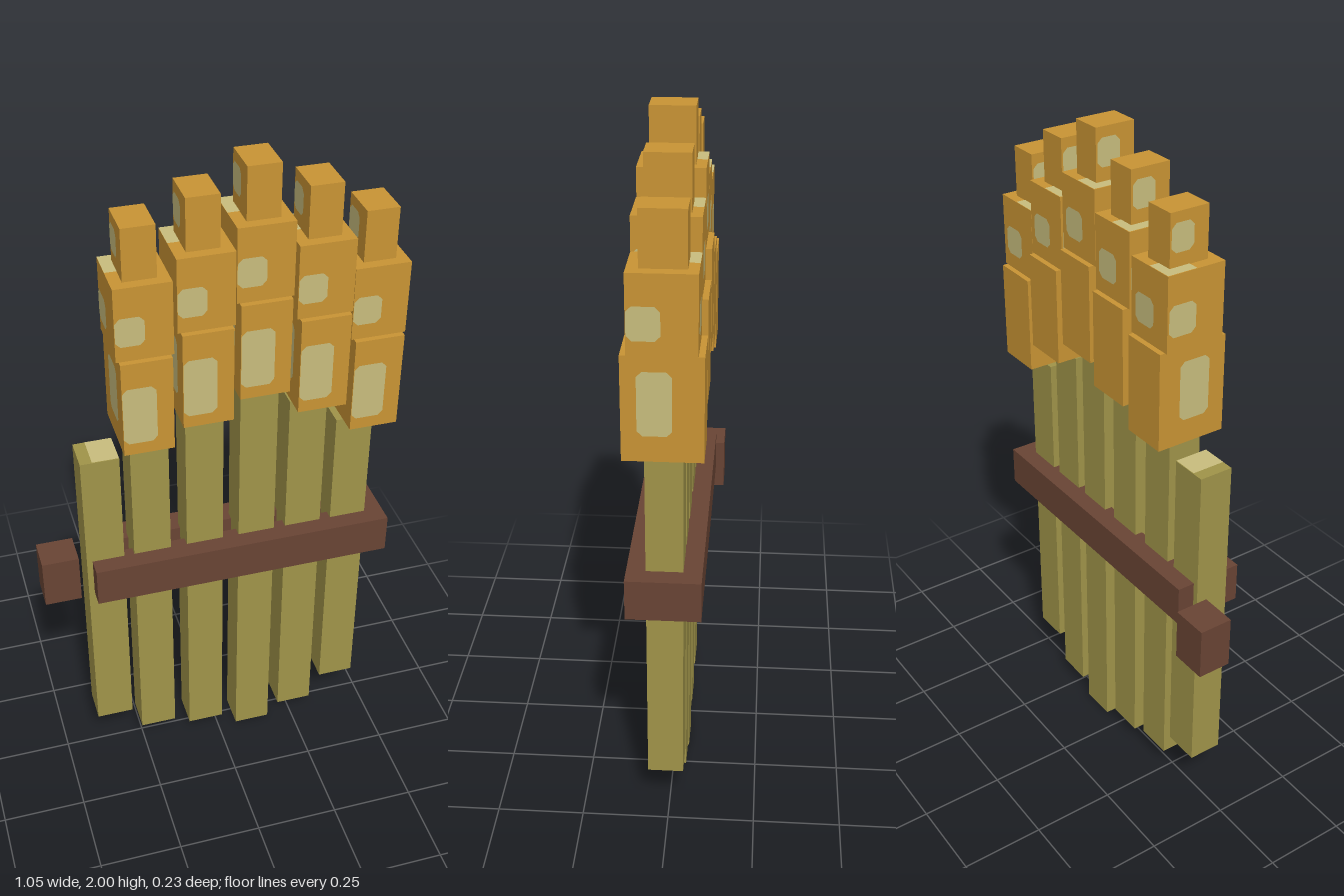
import * as THREE from 'three';

const mat = (name, color) => {
  const m = new THREE.MeshStandardMaterial({ color });
  m.name = name;
  return m;
};

export function createModel() {
  const model = new THREE.Group();
  model.name = 'cattailBundle';
  const olive = mat('stalkOlive', 0xa09449);
  const amber = mat('headAmber', 0xc99434);
  const straw = mat('paleStraw', 0xc8bd7d);
  const brown = mat('strapBrown', 0x694434);

  // Box given by its lower and upper corners
  function box(parent, name, material, [x0, y0, z0], [x1, y1, z1]) {
    const mesh = new THREE.Mesh(new THREE.BoxGeometry(x1 - x0, y1 - y0, z1 - z0), material);
    mesh.position.set((x0 + x1) / 2, (y0 + y1) / 2, (z0 + z1) / 2);
    mesh.name = name;
    parent.add(mesh);
  }

  // Thin pale patch with clipped corners, turned to lie on one face of a box
  const turns = {
    front: [0, 0, 0], back: [0, Math.PI, 0], left: [0, Math.PI / 2, 0],
    right: [0, -Math.PI / 2, 0], top: [-Math.PI / 2, 0, 0],
  };
  function patch(parent, face, w, h, x, y, z, cut = 0.014) {
    const a = w / 2, b = h / 2;
    const points = [[-a + cut, -b], [a - cut, -b], [a, -b + cut], [a, b - cut],
      [a - cut, b], [-a + cut, b], [-a, b - cut], [-a, -b + cut]];
    const shape = new THREE.Shape(points.map(([u, v]) => new THREE.Vector2(u, v)));
    const mesh = new THREE.Mesh(new THREE.ShapeGeometry(shape), straw);
    mesh.rotation.set(...turns[face]);
    mesh.position.set(x, y, z).addScaledVector(
      new THREE.Vector3(0, 0, 1).applyEuler(mesh.rotation), 0.0015);
    mesh.name = face + 'Patch';
    parent.add(mesh);
  }

  // Bare stalk without a head
  box(model, 'bareStalk', olive, [-0.402, 0.165, -0.042], [-0.29, 1.175, 0.06]);
  patch(model, 'top', 0.077, 0.1, -0.329, 1.175, 0.009, 0.001);

  // Stalk left edge, stalk bottom, head centre, head bottom
  const stalks = [
    [-0.26, 0.08, -0.215, 1.222],
    [-0.1, 0.05, -0.047, 1.282],
    [0.06, 0, 0.113, 1.345],
    [0.206, 0.05, 0.282, 1.27],
    [0.35, 0.14, 0.441, 1.179],
  ];
  for (const [sx, sy, cx, hy] of stalks) {
    const reed = new THREE.Group();
    reed.name = 'reed';
    model.add(reed);
    const my = hy + 0.29, ty = hy + 0.506, top = hy + 0.655;
    const tx = cx; // tip is centred on the head
    box(reed, 'stalk', olive, [sx, sy, -0.042], [sx + 0.111, hy, 0.06]);
    box(reed, 'lowerHead', amber, [cx - 0.071, hy, -0.098], [cx + 0.071, my, 0.114]);
    box(reed, 'upperHead', amber, [cx - 0.079, my, -0.082], [cx + 0.079, ty, 0.097]);
    box(reed, 'tip', amber, [tx - 0.046, ty, -0.054], [tx + 0.046, top, 0.066]);

    // Pale patches on the lower head
    patch(reed, 'front', 0.094, 0.176, cx - 0.023, hy + 0.125, 0.114);
    patch(reed, 'left', 0.09, 0.176, cx + 0.071, hy + 0.16, 0.028);
    patch(reed, 'right', 0.095, 0.176, cx - 0.071, hy + 0.16, 0.015);
    // Pale patches on the upper head
    patch(reed, 'front', 0.08, 0.085, cx - 0.038, my + 0.087, 0.097);
    patch(reed, 'back', 0.08, 0.085, cx + 0.02, my + 0.087, -0.082);
    patch(reed, 'left', 0.085, 0.09, cx + 0.079, my + 0.087, 0.053);
    patch(reed, 'right', 0.085, 0.09, cx - 0.079, my + 0.087, -0.035);
    patch(reed, 'top', 0.079, 0.09, cx - 0.0395, ty, -0.037, 0.001);
    // Pale patch on the tip
    patch(reed, 'right', 0.07, 0.08, tx - 0.046, ty + 0.08, -0.015);
  }

  // Strap around the stalks, open on one end, with a loose knot
  const strap = new THREE.Group();
  strap.name = 'strap';
  model.add(strap);
  box(strap, 'frontStrap', brown, [-0.385, 0.7, 0.033], [0.517, 0.82, 0.113]);
  box(strap, 'backStrap', brown, [-0.385, 0.7, -0.094], [0.517, 0.82, -0.018]);
  box(strap, 'endStrap', brown, [0.44, 0.7, -0.018], [0.517, 0.82, 0.033]);
  box(strap, 'knot', brown, [-0.524, 0.615, -0.119], [-0.413, 0.772, -0.018]);

  return model;
}
